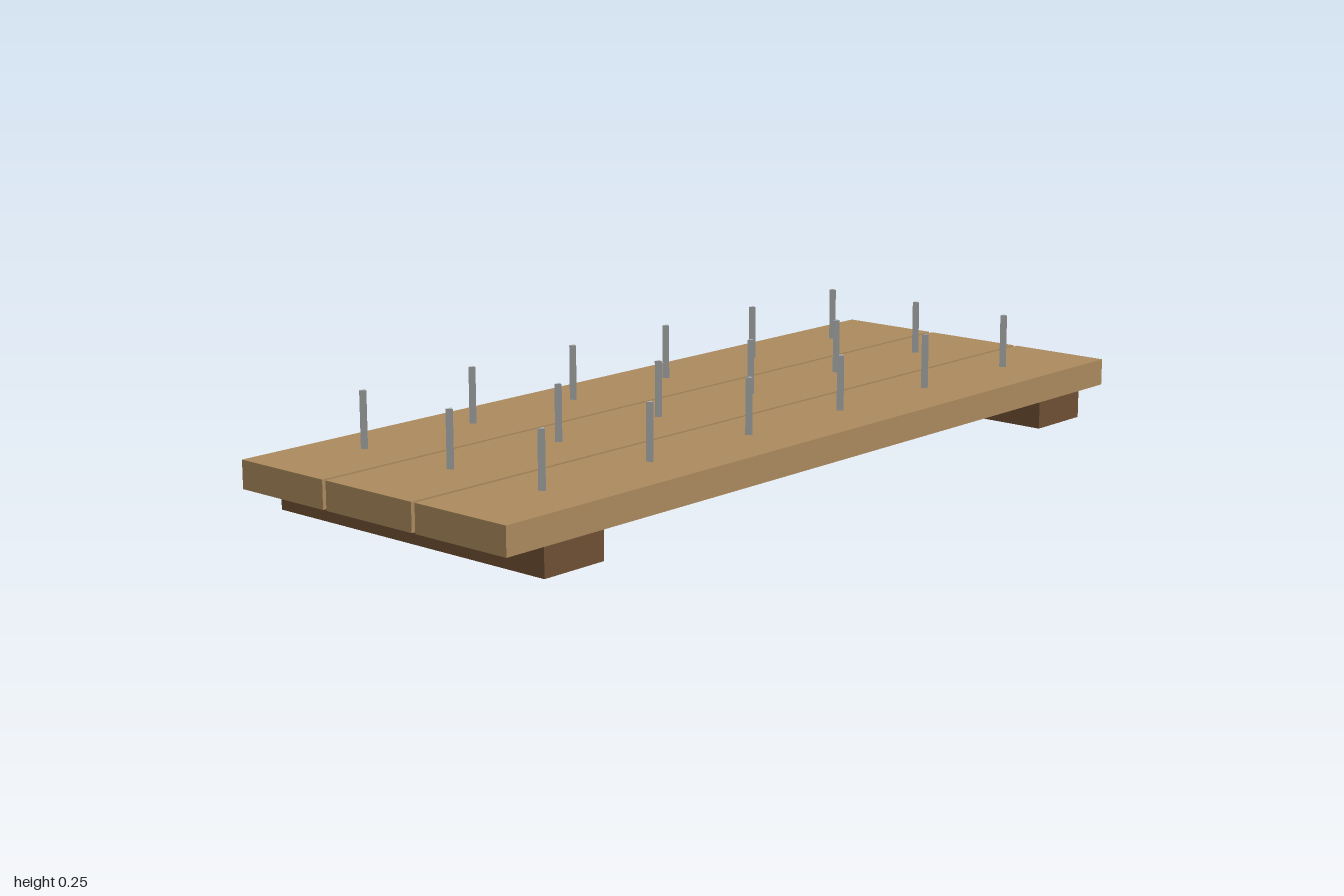
import * as THREE from 'three';

const material = (name, color) => {
  const m = new THREE.MeshStandardMaterial({ color });
  m.name = name;
  return m;
};

export function createModel() {
  const model = new THREE.Group();
  model.name = 'spikedBoard';
  const lightWood = material('lightWood', 0xab8a5e);
  const darkWood = material('darkWood', 0x705034);
  const steel = material('steel', 0xadb1b1);
  steel.flatShading = true;

  const add = (name, geometry, mat, x, y, z) => {
    const mesh = new THREE.Mesh(geometry, mat);
    mesh.name = name;
    mesh.position.set(x, y, z);
    model.add(mesh);
  };

  // Two cross beams under the ends
  const beam = new THREE.BoxGeometry(0.163, 0.063, 0.764);
  for (const x of [-0.82, 0.82]) add('crossBeam', beam, darkWood, x, 0.0315, 0);

  // Three planks with narrow gaps, each with a row of three-sided spikes
  const plank = new THREE.BoxGeometry(2, 0.062, 0.248);
  const spike = new THREE.CylinderGeometry(0.009, 0.009, 0.149, 3);
  for (const z of [-0.258, 0, 0.258]) {
    add('plank', plank, lightWood, 0, 0.094, z);
    for (let i = 0; i < 6; i++) {
      add('spike', spike, steel, -0.772 + i * 0.309, 0.1745, z - 0.007);
    }
  }
  return model;
}
